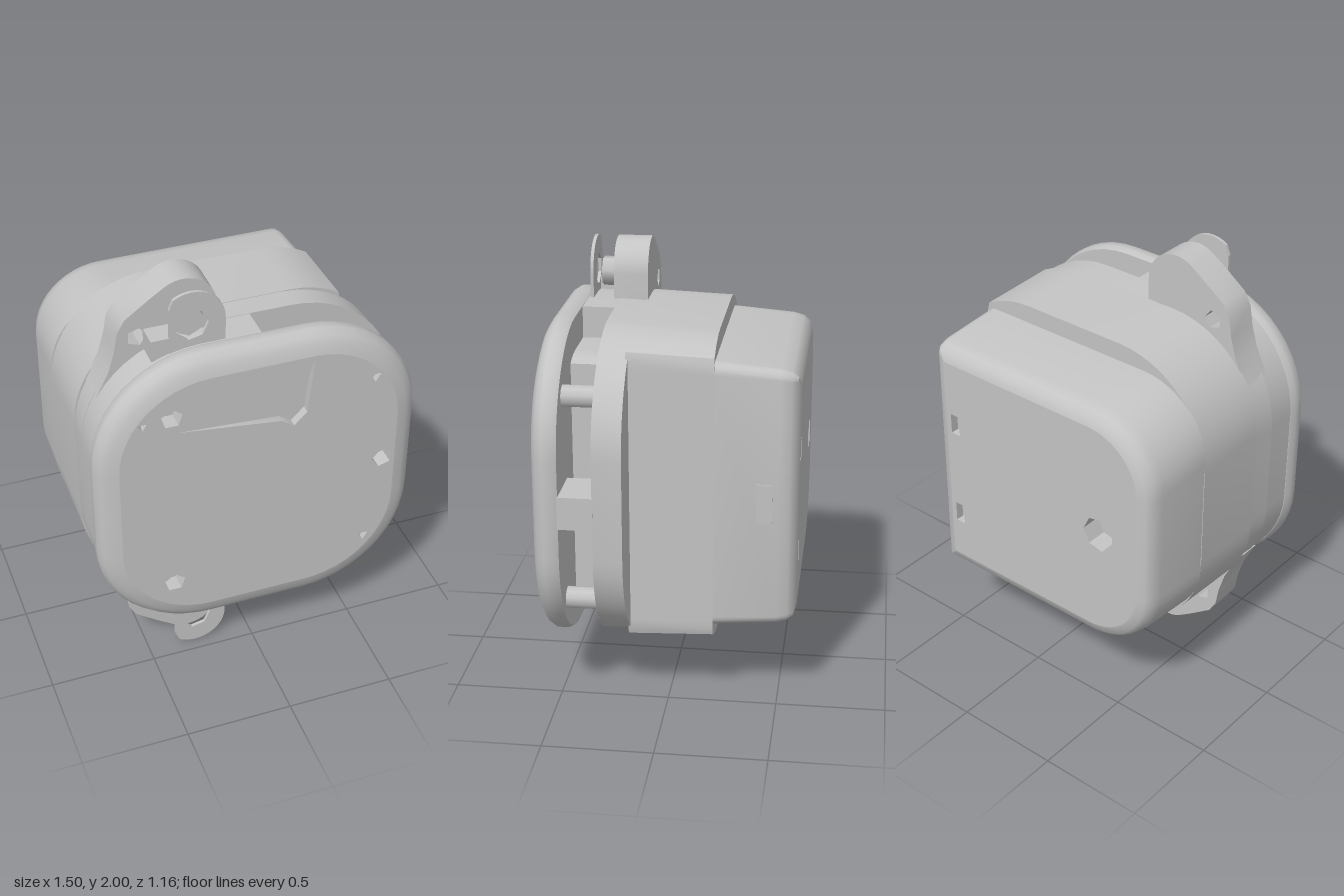
import * as THREE from 'three';
import { toCreasedNormals } from 'three/addons/utils/BufferGeometryUtils.js';

const housingGrey = new THREE.MeshStandardMaterial({ color: 0xc4c4c4, side: THREE.DoubleSide });
housingGrey.name = 'housingGrey';

// Rounded rectangle, counter-clockwise, with left and right corner radii; cut off at xMax
function outline(x0, x1, y0, y1, rL, rR, xMax = 9, inset = 0) {
  x0 += inset; x1 -= inset; y0 += inset; y1 -= inset;
  rL = Math.max(rL - inset, 0.01);
  rR = Math.max(rR - inset, 0.01);
  const corners = [[x1 - rR, y0 + rR, rR, -0.5], [x1 - rR, y1 - rR, rR, 0],
    [x0 + rL, y1 - rL, rL, 0.5], [x0 + rL, y0 + rL, rL, 1]];
  const pts = [];
  for (const [cx, cy, r, a] of corners) {
    for (let i = 0; i <= 12; i++) {
      const t = (a + i / 24) * Math.PI;
      pts.push(new THREE.Vector2(Math.min(cx + r * Math.cos(t), xMax), cy + r * Math.sin(t)));
    }
  }
  return pts;
}

const polygon = (cx, cy, r, n, turn = 0) => Array.from({ length: n }, (_, i) => {
  const t = turn + i / n * Math.PI * 2;
  return new THREE.Vector2(cx + r * Math.cos(t), cy + r * Math.sin(t));
});
const points = list => list.map(([x, y]) => new THREE.Vector2(x, y));

// Skin through sections [z, points] in rising z, with optional end caps
function loft(sections, capStart = true, capEnd = true) {
  const pos = [];
  const put = (z, p) => pos.push(p.x, p.y, z);
  const n = sections[0][1].length;
  for (let s = 0; s + 1 < sections.length; s++) {
    const [z0, a] = sections[s], [z1, b] = sections[s + 1];
    for (let i = 0; i < n; i++) {
      const j = (i + 1) % n;
      put(z0, a[i]); put(z0, a[j]); put(z1, b[j]);
      put(z0, a[i]); put(z1, b[j]); put(z1, b[i]);
    }
  }
  const cap = ([z, p], flip) => {
    for (let i = 1; i + 1 < n; i++) {
      put(z, p[0]); put(z, p[flip ? i + 1 : i]); put(z, p[flip ? i : i + 1]);
    }
  };
  if (capStart) cap(sections[0], true);
  if (capEnd) cap(sections[sections.length - 1], false);
  const g = new THREE.BufferGeometry();
  g.setAttribute('position', new THREE.Float32BufferAttribute(pos, 3));
  return toCreasedNormals(g, 0.6);
}

export function createModel() {
  const group = new THREE.Group();
  const add = (name, geometry, x = 0, y = 0, z = 0) => {
    const m = new THREE.Mesh(geometry, housingGrey);
    m.name = name;
    m.position.set(x, y, z);
    group.add(m);
    return m;
  };

  // Flat end face with sunken pockets [points, depth]; depth is signed along z
  const pocketFace = (name, edge, z, pockets) => {
    const shape = new THREE.Shape(edge);
    for (const [p, depth] of pockets) {
      shape.holes.push(new THREE.Path(p));
      add(name + 'PocketWall', loft([[z - depth, p], [z, p]], false, false));
      add(name + 'PocketFloor', new THREE.ShapeGeometry(new THREE.Shape(p)), 0, 0, z - depth);
    }
    add(name, new THREE.ShapeGeometry(shape), 0, 0, z);
  };

  // Front cover: rounded rim and a face with screw pockets and notches
  const plate = (inset, xMax) => outline(-0.75, 0.75, 0.26, 1.75, 0.52, 0.52, xMax, inset);
  add('frontCoverRim', loft([[0.45, plate(0.012)], [0.475, plate(0)], [0.515, plate(0)],
    [0.545, plate(0.02)], [0.565, plate(0.055)], [0.577, plate(0.1)]], true, false));
  pocketFace('frontCoverFace', plate(0.1), 0.577, [
    [polygon(-0.41, 1.48, 0.05, 5, 0.3), 0.08],
    [polygon(-0.41, 0.54, 0.05, 5, 0.3), 0.08],
    [polygon(0.59, 1.0, 0.05, 5, 0.6), 0.08],
    [polygon(0.53, 1.47, 0.028, 3, 0.5), 0.03],
    [polygon(0.52, 0.55, 0.028, 3, 0.5), 0.03],
    [polygon(-0.54, 1.47, 0.022, 3, 0.5), 0.03],
    [points([[-0.39, 1.4], [0.09, 1.34], [0.15, 1.3], [0.21, 1.36], [0.24, 1.64],
      [0.16, 1.41], [0.1, 1.37]]), 0.04],
  ]);

  // Flange behind the gap; closed side and core that bridge the gap
  add('flange', loft([[0.17, plate(0.018)], [0.3, plate(0.012)]]));
  add('closedSide', loft([[0.29, plate(0.014, 0.04)], [0.46, plate(0.014, 0.04)]]));
  add('gapCore', loft([[0.29, plate(0.16, 0.36)], [0.46, plate(0.16, 0.36)]]));
  add('sideSpacer', new THREE.BoxGeometry(0.24, 0.15, 0.16), 0.62, 1.0, 0.375);
  for (const y of [0.52, 1.48]) {
    const post = add('cornerPost', new THREE.CylinderGeometry(0.05, 0.05, 0.16, 10), 0.56, y, 0.375);
    post.rotation.x = Math.PI / 2;
  }

  // Middle body, cut flat on one side
  const middle = inset => outline(-0.735, 0.75, 0.265 + inset, 1.735 - inset, 0.48, 0.48, 0.52);
  add('middleBody', loft([[-0.205, middle(0.015)], [0.18, middle(0)]]));

  // Rear body: tapers in height only, with a rounded back edge and sockets
  const rear = (inset, taper) =>
    outline(-0.732, 0.52, 0.385 + taper, 1.635 - taper, 0.34, 0.05, 9, inset);
  add('rearBody', loft([[-0.58, rear(0.075, 0.025)], [-0.567, rear(0.035, 0.025)],
    [-0.54, rear(0.012, 0.025)], [-0.49, rear(0.002, 0.022)], [-0.2, rear(0, 0)]], false, true));
  pocketFace('rearFace', rear(0.075, 0.025), -0.58, [
    [polygon(-0.45, 1.0, 0.085, 7), -0.1],
    [points([[0.37, 1.17], [0.42, 1.17], [0.42, 1.27], [0.37, 1.27]]), -0.04],
    [points([[0.37, 0.68], [0.42, 0.68], [0.42, 0.78], [0.37, 0.78]]), -0.04],
  ]);
  add('sideSocketPlate', new THREE.BoxGeometry(0.008, 0.18, 0.07), 0.52, 1.0, -0.43);

  // Mounting ears, mirrored above and below
  for (const s of [1, -1]) {
    const Y = y => 1 + s * (y - 1);
    const flip = list => list.map(p => new THREE.Vector2(p.x, Y(p.y)));
    const head = [];
    for (let i = 0; i <= 12; i++) {
      const t = i / 12 * Math.PI * 0.68;
      head.push(new THREE.Vector2(-0.27 + 0.15 * Math.cos(t), 1.85 + 0.15 * Math.sin(t)));
    }
    const ear = new THREE.Shape(flip([new THREE.Vector2(-0.12, 1.62), ...head,
      ...points([[-0.42, 1.93], [-0.53, 1.85], [-0.565, 1.79], [-0.58, 1.7], [-0.61, 1.6],
        [-0.67, 1.48], [-0.5, 1.45]])]));
    ear.holes.push(new THREE.Path(flip(polygon(-0.48, 1.755, 0.045, 5))));
    add('mountingEar', toCreasedNormals(
      new THREE.ExtrudeGeometry(ear, { depth: 0.16, bevelEnabled: false }), 0.6), 0, 0, 0.17);

    // Thin retaining tab with a blind bolt recess in front of the ear
    const tab = new THREE.Shape(flip([new THREE.Vector2(-0.12, 1.66), ...head,
      ...points([[-0.37, 1.93], [-0.37, 1.66]])]));
    tab.holes.push(new THREE.Path(flip(polygon(-0.27, 1.84, 0.075, 7))));
    add('retainingTab', new THREE.ExtrudeGeometry(tab, { depth: 0.015, bevelEnabled: false }), 0, 0, 0.425);
    const bolt = add('earBolt', new THREE.CylinderGeometry(0.07, 0.07, 0.08, 7), -0.27, Y(1.83), 0.36);
    bolt.rotation.x = Math.PI / 2;
    add('earRib', new THREE.BoxGeometry(0.13, 0.1, 0.11), -0.385, Y(1.74), 0.38);
  }

  return group;
}
